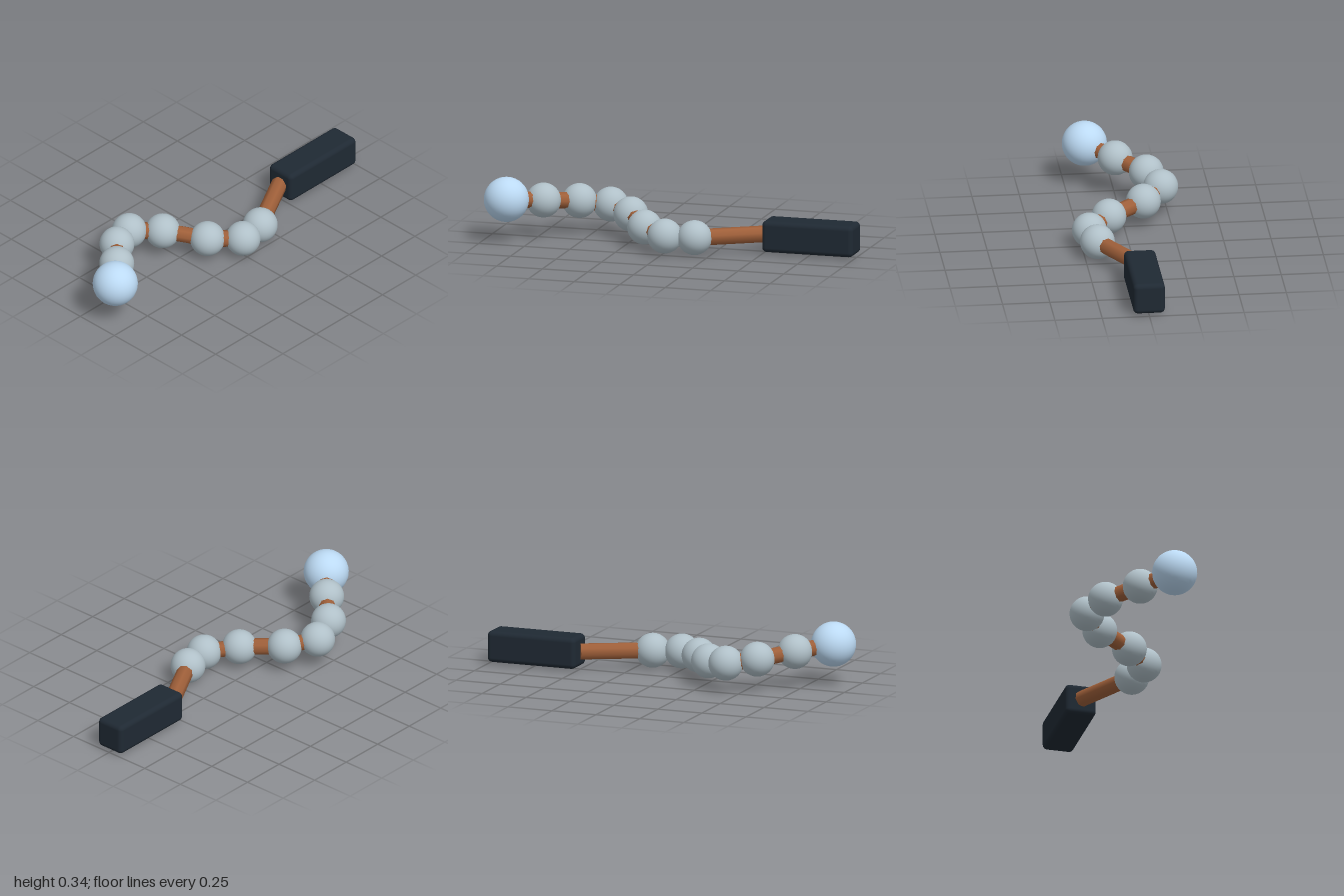
import * as THREE from 'three';
import { RoundedBoxGeometry } from 'three/addons/geometries/RoundedBoxGeometry.js';

const material = (color) => new THREE.MeshStandardMaterial({ color });

export function createModel() {
  const model = new THREE.Group();
  model.name = 'segmentedArm';
  const baseMat = material(0x1f2933);
  const rodMat = material(0xa0603a);
  const jointMat = material(0xb0c0c8);
  const tipMat = material(0xbcdaf4);

  const add = (name, geometry, mat, position) => {
    const mesh = new THREE.Mesh(geometry, mat);
    mesh.name = name;
    mesh.position.copy(position);
    model.add(mesh);
    return mesh;
  };

  // Rounded block at the back
  add('base', new RoundedBoxGeometry(0.167, 0.167, 0.5, 4, 0.025), baseMat,
    new THREE.Vector3(0, 0.097, -0.75));

  // Path of the chain: base front face, seven joints, tip
  const path = [
    [0, 0.097, -0.5], [0.185, 0.094, -0.165], [0.211, 0.098, -0.009],
    [0.092, 0.112, 0.137], [-0.105, 0.133, 0.272], [-0.212, 0.154, 0.414],
    [-0.152, 0.176, 0.568], [-0.004, 0.2, 0.721], [0.141, 0.224, 0.881],
  ].map((p) => new THREE.Vector3(...p));

  // Ball joints, with a larger ball at the tip
  const jointGeo = new THREE.SphereGeometry(0.092, 32, 20);
  const last = path.length - 1;
  for (let i = 1; i < last; i++) add(`joint${i}`, jointGeo, jointMat, path[i]);
  add('tip', new THREE.SphereGeometry(0.119, 32, 20), tipMat, path[last]);

  // Eight-sided rods linking neighbouring points
  const up = new THREE.Vector3(0, 1, 0);
  for (let i = 0; i < last; i++) {
    const along = path[i + 1].clone().sub(path[i]);
    const middle = path[i].clone().add(path[i + 1]).multiplyScalar(0.5);
    const rod = add(`rod${i + 1}`,
      new THREE.CylinderGeometry(0.044, 0.044, along.length(), 8), rodMat, middle);
    rod.quaternion.setFromUnitVectors(up, along.normalize());
  }
  return model;
}
